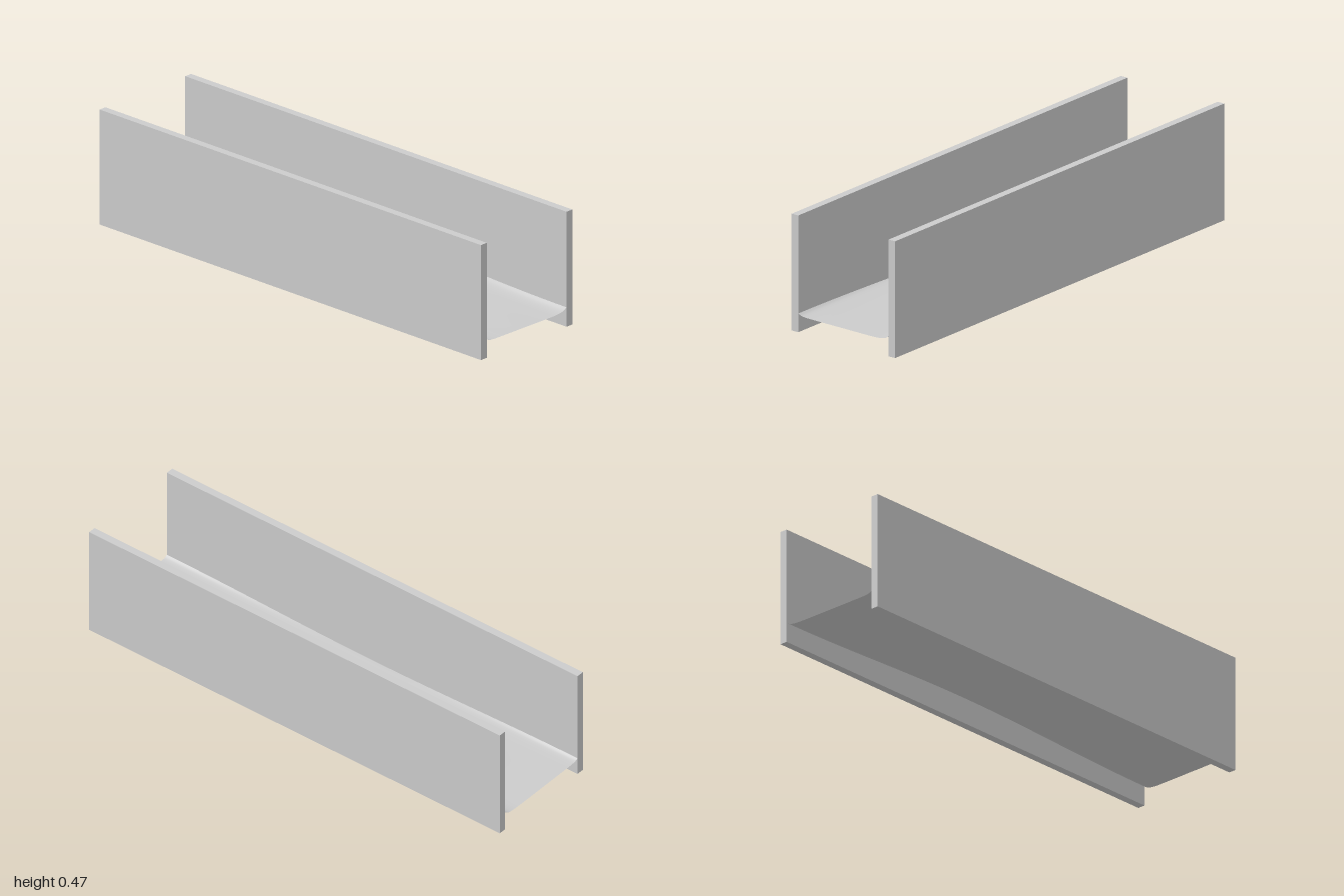
import * as THREE from 'three';

const HALF_GAP = 0.22;

// Height profiles across the channel: [z, height at the ends, height mid-length]
const PROFILE = [
  [0.22, 0.076, 0.058],
  [0.205, 0.069, 0.058],
  [0.18, 0.066, 0.057],
  [0.12, 0.065, 0.056],
  [0.0, 0.064, 0.073],
  [-0.12, 0.063, 0.09],
  [-0.17, 0.064, 0.097],
  [-0.2, 0.069, 0.102],
  [-0.22, 0.08, 0.105],
];

// Smooth curve through one column of the profile
function profileCurve(column) {
  return new THREE.CatmullRomCurve3(
    PROFILE.map((p) => new THREE.Vector3(0, p[column], p[0])), false, 'centripetal');
}

function createBed(material) {
  const geometry = new THREE.PlaneGeometry(2, 2 * HALF_GAP, 48, 32);
  geometry.rotateX(-Math.PI / 2);
  const ends = profileCurve(1).getPoints(32);
  const middle = profileCurve(2).getPoints(32);
  const position = geometry.attributes.position;

  // Blend from the shallow channel at each end to the banked middle
  for (let i = 0; i < position.count; i++) {
    const row = 32 - Math.floor(i / 49);
    const blend = Math.cos(position.getX(i) * Math.PI / 2) ** 2;
    const point = ends[row].clone().lerp(middle[row], blend);
    position.setY(i, point.y);
    position.setZ(i, point.z);
  }
  geometry.computeVertexNormals();
  const bed = new THREE.Mesh(geometry, material);
  bed.name = 'channelBed';
  return bed;
}

export function createModel() {
  const group = new THREE.Group();
  group.name = 'channel';
  const wallMaterial = new THREE.MeshStandardMaterial({ color: 0xcccccc });
  const bedMaterial = new THREE.MeshStandardMaterial({ color: 0xcccccc, side: THREE.DoubleSide });

  // Upright side walls
  for (const [name, side] of [['frontWall', 1], ['backWall', -1]]) {
    const wall = new THREE.Mesh(new THREE.BoxGeometry(2, 0.47, 0.032), wallMaterial);
    wall.name = name;
    wall.position.set(0, 0.235, side * 0.235);
    group.add(wall);
  }

  // Curved sheet between the walls
  group.add(createBed(bedMaterial));
  return group;
}
